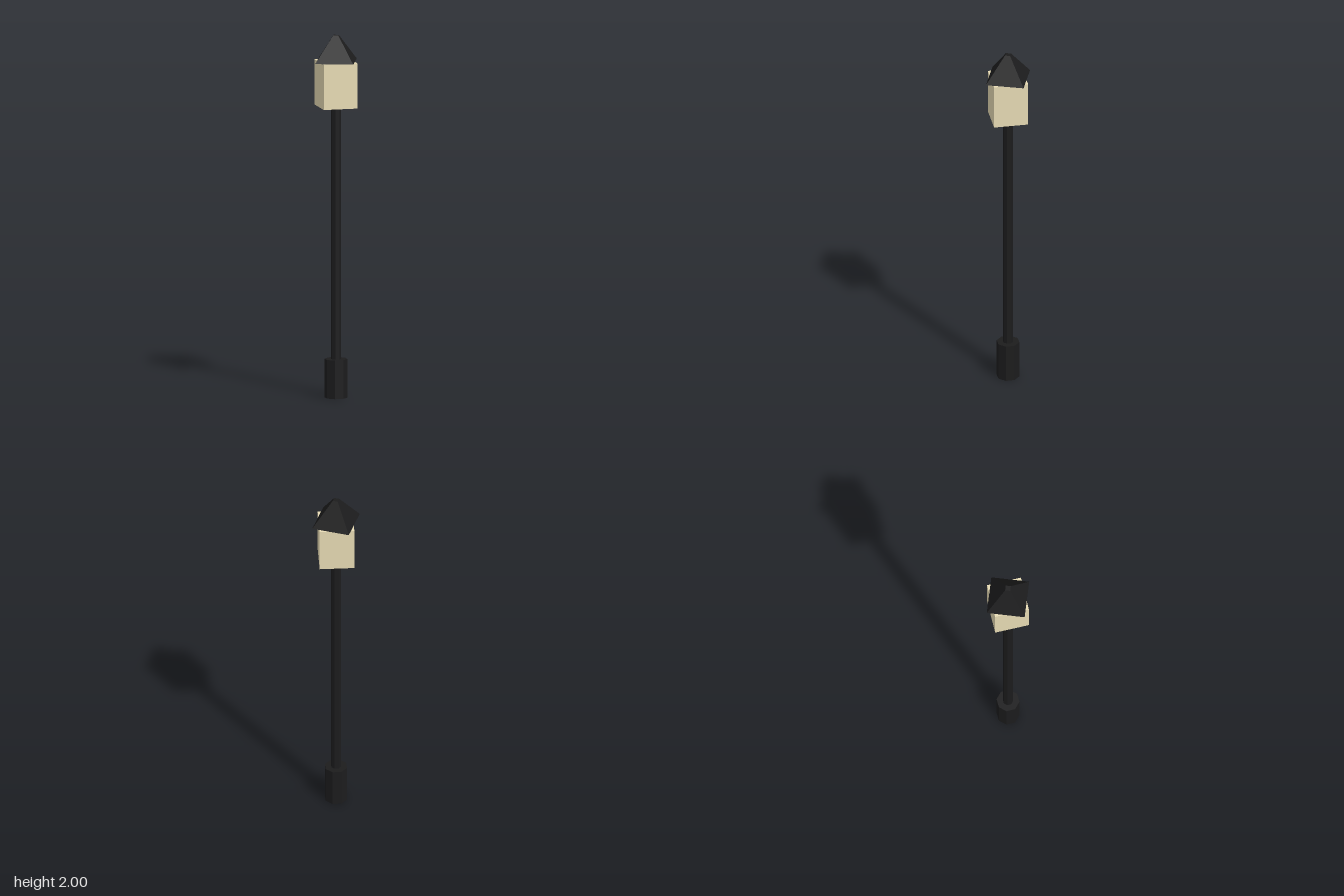
import * as THREE from 'three';

const BLACK = 0x1c1c1d;
const CREAM = 0xe8dcb5;

export function createModel() {
  const group = new THREE.Group();

  const add = (name, geometry, color, yBottom, yTop) => {
    const material = new THREE.MeshStandardMaterial({ color, flatShading: true });
    const mesh = new THREE.Mesh(geometry, material);
    mesh.name = name;
    mesh.position.y = (yBottom + yTop) / 2;
    group.add(mesh);
    return mesh;
  };

  // tapered prism standing between two heights
  const prism = (name, rTop, rBottom, sides, yBottom, yTop) =>
    add(name, new THREE.CylinderGeometry(rTop, rBottom, yTop - yBottom, sides), BLACK, yBottom, yTop);

  // eight-sided foot and slim pole
  prism('base', 0.063, 0.063, 8, 0, 0.213);
  prism('pole', 0.028, 0.028, 8, 0.2, 1.61);

  // lamp box, turned against the roof
  const lamp = add('lampBox', new THREE.BoxGeometry(0.189, 0.25, 0.189), CREAM, 1.606, 1.856);
  lamp.rotation.y = -0.43;

  // four-sided roof with a small flat tip, corners on the axes
  prism('roof', 0.02, 0.147, 4, 1.856, 2);

  return group;
}
